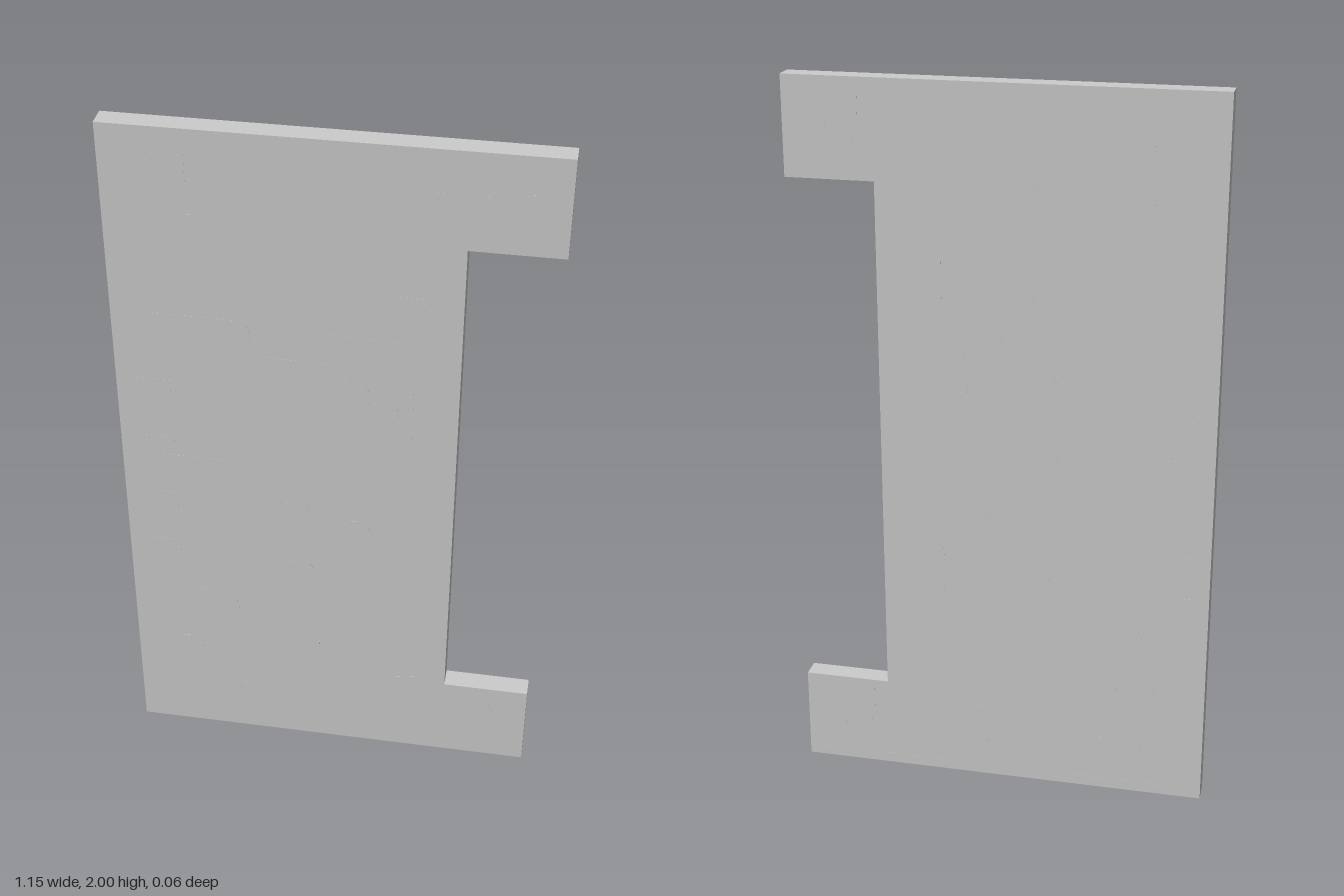
import * as THREE from 'three';

const HALF = 0.0295;   // half thickness of the bare board
const RELIEF = 0.0005; // height of the copper above it

export function createModel() {
  const model = new THREE.Group();
  model.name = 'circuitBoard';
  const material = new THREE.MeshStandardMaterial({ color: 0xcccccc });

  function add(parent, name, geometry) {
    const mesh = new THREE.Mesh(geometry, material);
    mesh.name = name;
    parent.add(mesh);
    return mesh;
  }

  // Board with a long notch in its left edge
  const outline = new THREE.Shape([
    [-0.577, 0], [0.577, 0], [0.577, 0.267], [0.335, 0.267],
    [0.335, 1.733], [0.577, 1.733], [0.577, 2], [-0.577, 2],
  ].map(([x, y]) => new THREE.Vector2(x, y)));
  const board = new THREE.ExtrudeGeometry(outline, { depth: 2 * HALF, bevelEnabled: false });
  add(model, 'board', board.translate(0, 0, -HALF));

  // Copper on one face: side is +1 for the front, -1 for the back
  function copperLayer(name, side, { traces, vias, pads }) {
    const layer = new THREE.Group();
    layer.name = name;
    model.add(layer);
    const z = side * (HALF + RELIEF / 2);

    // Thin tracks along polylines
    for (const { width, path } of traces) {
      for (let i = 0; i + 1 < path.length; i++) {
        const [x0, y0] = path[i], [x1, y1] = path[i + 1];
        const length = Math.hypot(x1 - x0, y1 - y0);
        const track = add(layer, 'trace', new THREE.BoxGeometry(length, width, RELIEF));
        track.position.set((x0 + x1) / 2, (y0 + y1) / 2, z);
        track.rotation.z = Math.atan2(y1 - y0, x1 - x0);
      }
    }
    // Round solder pads
    for (const [x, y, r] of vias) {
      const geometry = new THREE.CylinderGeometry(r, r, RELIEF, 24).rotateX(Math.PI / 2);
      add(layer, 'roundPad', geometry).position.set(x, y, z);
    }
    // Rectangular solder pads
    for (const [x, y, w, h] of pads) {
      add(layer, 'squarePad', new THREE.BoxGeometry(w, h, RELIEF)).position.set(x, y, z);
    }
  }

  // Row of contact fingers along the right edge
  const fingers = (heights) => heights.map((y) => [-0.48, y, 0.1, 0.05]);

  copperLayer('frontCopper', 1, {
    traces: [
      { width: 0.012, path: [[-0.47, 1.465], [-0.26, 1.465], [-0.18, 1.36], [0.05, 1.355], [0.19, 1.24]] },
      { width: 0.012, path: [[-0.07, 1.45], [0.2, 1.44]] },
      { width: 0.012, path: [[-0.48, 1.01], [-0.29, 1.01], [-0.13, 0.86]] },
      { width: 0.012, path: [[0.21, 1.33], [0.21, 1.03]] },
      { width: 0.012, path: [[0.07, 0.91], [0.27, 0.72]] },
      { width: 0.012, path: [[0.04, 0.54], [0.04, 0.45]] },
      { width: 0.012, path: [[-0.04, 0.38], [-0.04, 0.23]] },
      { width: 0.012, path: [[0.1, 0.18], [0.18, 0.27], [0.27, 0.28], [0.36, 0.19]] },
    ],
    vias: [
      [-0.35, 1.73, 0.04], [-0.05, 1.73, 0.03], [-0.25, 1.43, 0.04], [0.2, 1.48, 0.04],
      [0.06, 1.28, 0.04], [-0.09, 1.21, 0.04], [0.14, 1.22, 0.04], [0.06, 1.14, 0.04],
      [-0.1, 0.86, 0.04], [0.07, 0.81, 0.04], [-0.09, 0.65, 0.04], [-0.34, 0.48, 0.07],
      [-0.42, 0.31, 0.04], [-0.22, 0.36, 0.04], [-0.34, 0.14, 0.07], [0.41, 1.86, 0.04],
      [0.49, 1.86, 0.04], [0.44, 0.17, 0.04], [0.5, 0.1, 0.04],
    ],
    pads: [
      ...fingers([1.24, 1.05, 0.86, 0.69]),
      [-0.4, 1.89, 0.08, 0.08], [0.2, 1.55, 0.07, 0.07], [0.28, 1.85, 0.07, 0.07],
    ],
  });

  copperLayer('backCopper', -1, {
    traces: [
      { width: 0.04, path: [[0.1, 1.89], [-0.05, 1.71], [-0.27, 1.49]] },
      { width: 0.012, path: [[-0.03, 0.39], [-0.03, 0.22], [0.07, 0.22]] },
      { width: 0.01, path: [[0.55, 1.975], [-0.55, 1.975]] },
      { width: 0.01, path: [[0.55, 0.025], [-0.55, 0.025]] },
    ],
    vias: [
      [0.05, 1.84, 0.04], [-0.05, 1.71, 0.05], [-0.35, 1.7, 0.05], [-0.05, 1.43, 0.04],
      [-0.27, 1.42, 0.05], [0.03, 1.31, 0.04], [0.14, 1.27, 0.04], [0.13, 1.18, 0.04],
      [-0.1, 1.21, 0.05], [0.12, 1.03, 0.04], [0.12, 0.88, 0.04], [0.07, 0.8, 0.04],
      [-0.11, 0.99, 0.05], [-0.09, 0.84, 0.05], [-0.09, 0.63, 0.05], [0.2, 0.69, 0.04],
      [0.2, 0.58, 0.04], [-0.33, 0.47, 0.07], [-0.29, 0.31, 0.04], [-0.4, 0.32, 0.04],
      [-0.34, 0.12, 0.07], [0.08, 0.1, 0.04], [0.43, 1.84, 0.04], [0.5, 1.87, 0.04],
      [0.5, 0.1, 0.04], [0.42, 0.12, 0.04],
    ],
    pads: [
      ...fingers([1.43, 1.25, 1.14, 1.0, 0.86, 0.72, 0.6]),
      [0.05, 1.88, 0.08, 0.07], [-0.35, 1.89, 0.08, 0.08], [0.2, 1.5, 0.08, 0.14],
      [0.41, 1.92, 0.07, 0.07], [0.41, 0.21, 0.07, 0.06],
    ],
  });

  return model;
}
